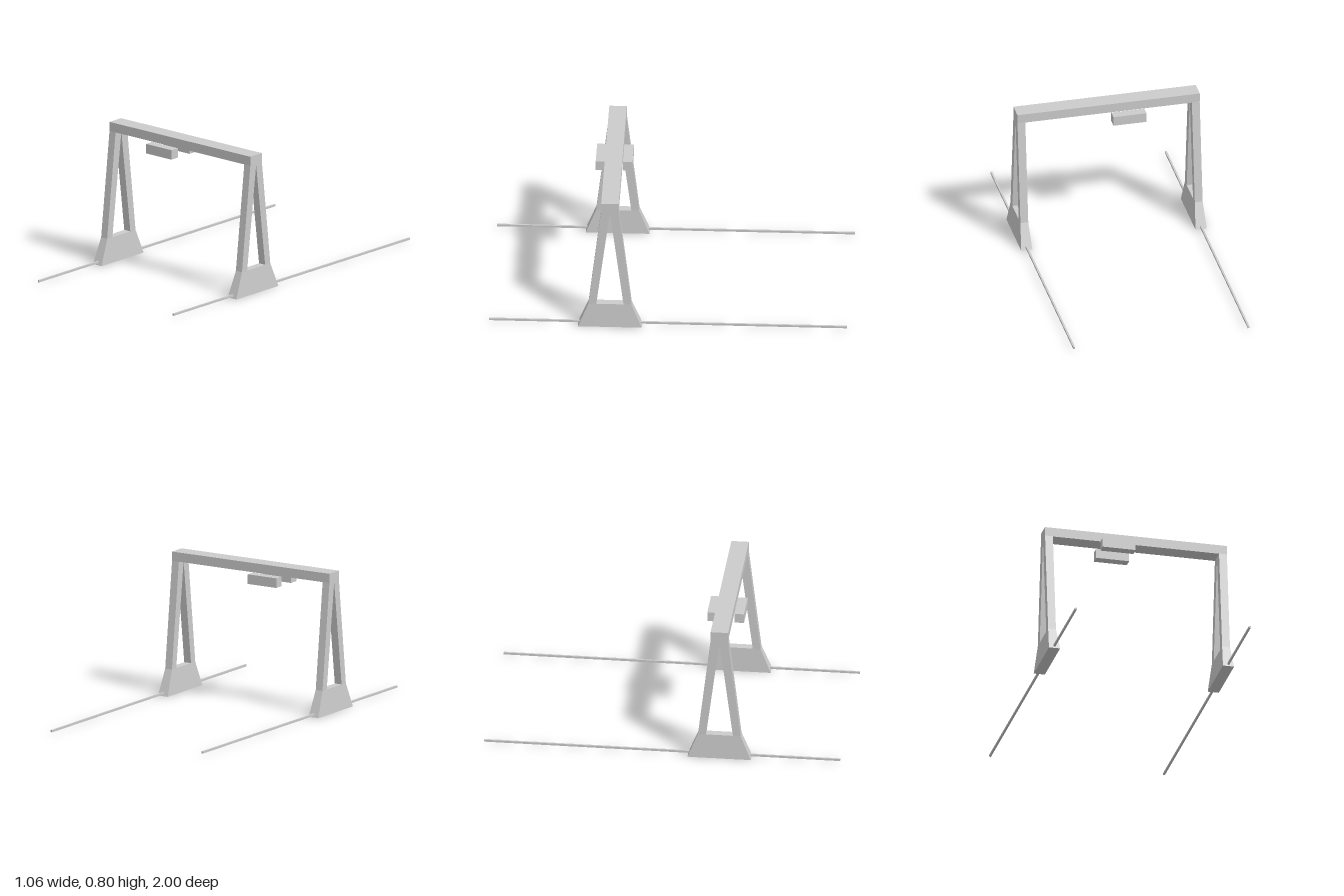
import * as THREE from 'three';

const FRAME_Z = 0.324; // position of the gantry along the rails
const KNEE = 0.144;    // height where the flared foot meets the leg struts

const material = new THREE.MeshStandardMaterial({ color: 0xcccccc, flatShading: true });

function addMesh(parent, name, geometry, x = 0, y = 0, z = 0) {
  const mesh = new THREE.Mesh(geometry, material);
  mesh.name = name;
  mesh.position.set(x, y, z);
  parent.add(mesh);
  return mesh;
}

// Extrude a (z, y) side profile across x, centred on x = 0
function sideExtrude(points, width) {
  const shape = new THREE.Shape(points.map(([z, y]) => new THREE.Vector2(z, y)));
  const geometry = new THREE.ExtrudeGeometry(shape, { depth: width, bevelEnabled: false });
  return geometry.translate(0, 0, -width / 2).rotateY(-Math.PI / 2);
}

function createLeg() {
  const leg = new THREE.Group();

  // Foot: trapezoid that also flares sideways towards the ground
  const foot = sideExtrude([[-0.178, 0], [0.178, 0], [0.12, KNEE], [-0.12, KNEE]], 0.045);
  const p = foot.attributes.position;
  for (let i = 0; i < p.count; i++) {
    if (p.getY(i) < 0.01) p.setX(i, Math.sign(p.getX(i)) * 0.032);
  }
  foot.computeVertexNormals();
  addMesh(leg, 'foot', foot);

  // Two struts leaning together under the beam
  addMesh(leg, 'struts', sideExtrude([
    [-0.12, KNEE], [-0.076, KNEE], [0, 0.742], [0.076, KNEE],
    [0.12, KNEE], [0.049, 0.748], [-0.049, 0.748],
  ], 0.045));
  return leg;
}

export function createModel() {
  const model = new THREE.Group();
  model.name = 'gantryCrane';

  // Legs and the rails they run on
  for (const [side, x] of [['left', 0.5], ['right', -0.5]]) {
    const leg = createLeg();
    leg.name = `${side}Leg`;
    leg.position.set(x, 0, FRAME_Z);
    model.add(leg);
    addMesh(model, `${side}Rail`, new THREE.BoxGeometry(0.01, 0.012, 2), x, 0.016, 0);
  }

  // Cross beam
  addMesh(model, 'beam', new THREE.BoxGeometry(1.046, 0.053, 0.098), 0, 0.7735, FRAME_Z);

  // Trolley blocks hanging on both sides of the beam
  for (const [name, s] of [['frontTrolley', 1], ['backTrolley', -1]]) {
    addMesh(model, name, new THREE.BoxGeometry(0.19, 0.055, 0.054), -0.11, 0.718, FRAME_Z + s * 0.076);
  }
  return model;
}
